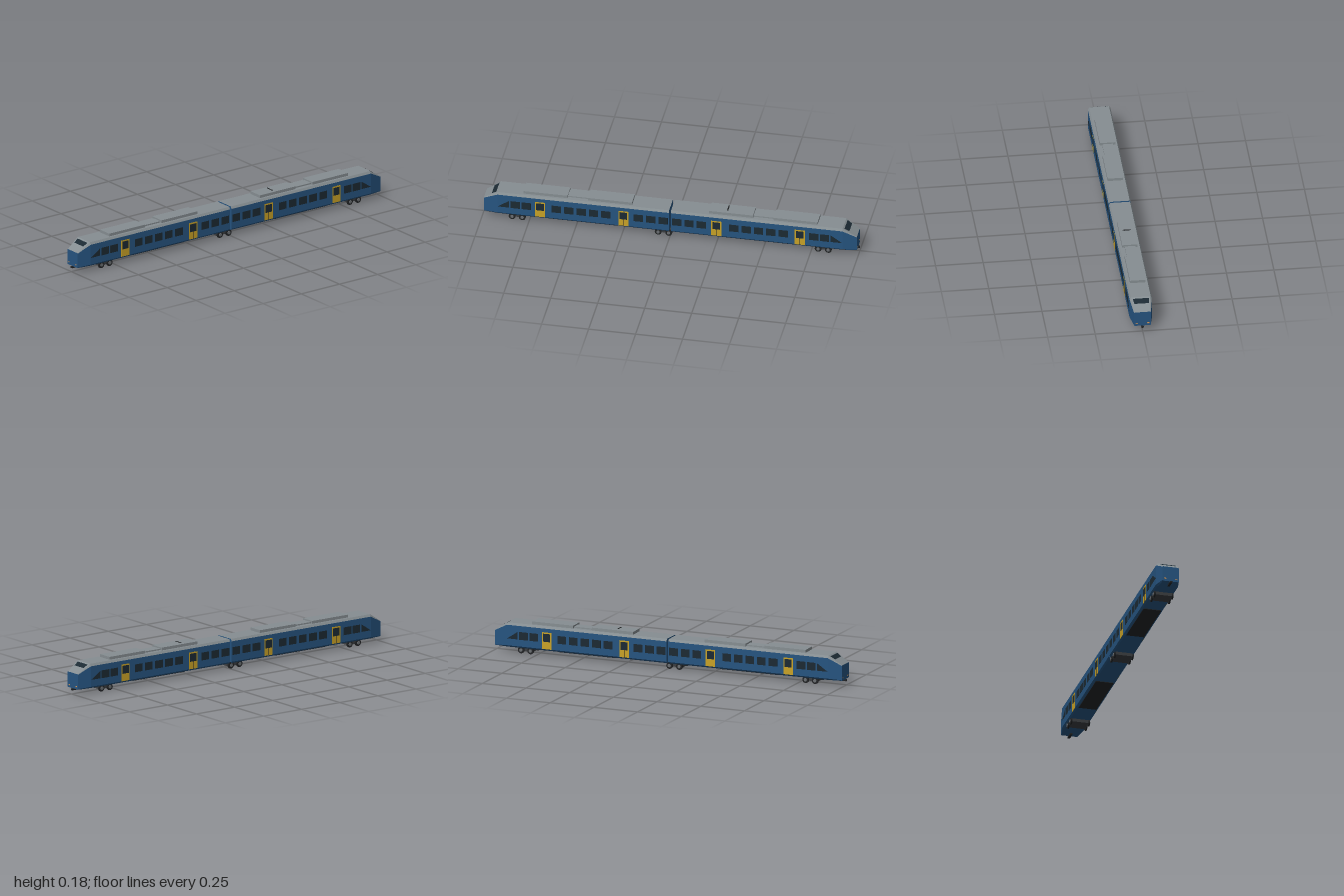
import * as THREE from 'three';

const mat = (color, side = THREE.FrontSide) => {
  const m = new THREE.MeshStandardMaterial({ flatShading: true, side });
  m.color.set(color);
  return m;
};
const blue = mat(0x265480), grey = mat(0x868e92), yellow = mat(0xc9a227);
const glass = mat(0x1c2a33, THREE.DoubleSide), dark = mat(0x222426);
const steel = mat(0x6a6e72), amber = mat(0xe09a50), frameGrey = mat(0x3a3d40);

function add(parent, name, geometry, material, x = 0, y = 0, z = 0) {
  const mesh = new THREE.Mesh(geometry, material);
  mesh.name = name;
  mesh.position.set(x, y, z);
  parent.add(mesh);
  return mesh;
}
const box = (p, name, m, w, h, d, x, y, z) => add(p, name, new THREE.BoxGeometry(w, h, d), m, x, y, z);

// Triangles from a list of quads, each with corners anticlockwise from outside
function quads(list) {
  const g = new THREE.BufferGeometry();
  const pos = list.flatMap(([a, b, c, d]) => [a, b, c, a, c, d].flat());
  g.setAttribute('position', new THREE.Float32BufferAttribute(pos, 3));
  g.computeVertexNormals();
  return g;
}

// Cross-section ring: right half mirrored, running bottom right to bottom left
function ring(z, half) {
  const right = half.map(([x, y]) => [x, y, z]);
  return [...right, ...right.map(([x, y]) => [-x, y, z]).reverse()];
}

const NOSE = { z0: 0.918, y0: 0.16, z1: 0.992, y1: 0.1125 };

function shell(car) {
  const full = [[0.052, 0.0295], [0.0595, 0.038], [0.0595, 0.148], [0.052, 0.16]];
  const tip = [[0.0425, 0.0295], [0.044, 0.033], [0.044, 0.11], [0.041, NOSE.y1]];
  const rings = [ring(0.005, full), ring(NOSE.z0, full), ring(NOSE.z1, tip)];
  const walls = [], roof = [];
  for (let s = 0; s < 2; s++) {
    for (let i = 0; i < 8; i++) {
      const j = (i + 1) % 8, a = rings[s], b = rings[s + 1];
      (i >= 2 && i <= 4 ? roof : walls).push([b[i], a[i], a[j], b[j]]);
    }
  }
  // End caps, as strips between mirrored points
  for (let i = 0; i < 3; i++) {
    const f = rings[2], r = rings[0];
    walls.push([f[7 - i], f[i], f[i + 1], f[6 - i]]);
    walls.push([r[i], r[7 - i], r[6 - i], r[i + 1]]);
  }
  add(car, 'bodyShell', quads(walls), blue);
  add(car, 'roof', quads(roof), grey);
}

function bogie(parent, name, zA, zB, frameLength) {
  const g = new THREE.Group();
  g.name = name;
  parent.add(g);
  box(g, 'bogieFrame', frameGrey, 0.088, 0.017, frameLength, 0, 0.021, (zA + zB) / 2);
  for (const z of [zA, zB]) {
    const axle = add(g, 'axle', new THREE.CylinderGeometry(0.004, 0.004, 0.1, 10), dark, 0, 0.018, z);
    axle.rotation.z = Math.PI / 2;
    for (const s of [-1, 1]) {
      const wheel = add(g, 'wheel', new THREE.CylinderGeometry(0.018, 0.018, 0.008, 20), dark, s * 0.048, 0.018, z);
      wheel.rotation.z = Math.PI / 2;
      const hub = add(g, 'axleBox', new THREE.CylinderGeometry(0.009, 0.009, 0.003, 12), steel, s * 0.0535, 0.018, z);
      hub.rotation.z = Math.PI / 2;
    }
  }
}

function createCar(name) {
  const car = new THREE.Group();
  car.name = name;
  shell(car);

  // Side windows, cab windows and doors
  const windowZ = [0.036, 0.102, 0.168, 0.340, 0.406, 0.472, 0.538, 0.604, 0.765, 0.823];
  const cab = new THREE.Shape([[0.856, 0.075], [0.917, 0.075], [0.856, 0.116]].map((p) => new THREE.Vector2(...p)));
  for (const s of [-1, 1]) {
    for (const z of windowZ) box(car, 'sideWindow', glass, 0.001, 0.042, 0.05, s * 0.0595, 0.095, z);
    const cabWindow = add(car, 'cabSideWindow', new THREE.ShapeGeometry(cab), glass, s * 0.0601);
    cabWindow.rotation.y = -Math.PI / 2;
    for (const z of [0.247, 0.691]) {
      box(car, 'door', yellow, 0.001, 0.09, 0.054, s * 0.0596, 0.083, z);
      box(car, 'doorWindow', glass, 0.001, 0.043, 0.041, s * 0.0599, 0.099, z);
      box(car, 'doorSeam', dark, 0.001, 0.038, 0.0015, s * 0.0599, 0.058, z);
    }
  }

  // Windscreen lying on the sloping nose
  const onSlope = (x, y) => {
    const t = (NOSE.y0 - y) / (NOSE.y0 - NOSE.y1);
    return [x, y + 0.0006, NOSE.z0 + t * (NOSE.z1 - NOSE.z0) + 0.0004];
  };
  add(car, 'windscreen', quads([[onSlope(-0.038, 0.139), onSlope(0.038, 0.139),
    onSlope(0.0435, 0.155), onSlope(-0.0435, 0.155)]]), glass);

  // Nose lights and coupler
  for (const s of [-1, 1]) {
    box(car, 'headlight', amber, 0.012, 0.0035, 0.001, s * 0.03, 0.0455, 0.9922);
    box(car, 'tailLight', steel, 0.011, 0.0025, 0.001, s * 0.03, 0.0415, 0.9922);
  }
  box(car, 'coupler', dark, 0.012, 0.009, 0.05, 0, 0.0245, 0.975);

  // Roof units joined by a low duct
  for (const z of [0.665, 0.322]) box(car, 'roofUnit', grey, 0.081, 0.016, 0.234, 0, 0.167, z);
  box(car, 'roofDuct', grey, 0.056, 0.008, 0.12, 0, 0.163, 0.495);

  // Underfloor equipment and outer bogie
  box(car, 'underfloorEquipment', dark, 0.096, 0.006, 0.34, 0, 0.0295, 0.465);
  bogie(car, 'outerBogie', 0.787, 0.841, 0.078);
  return car;
}

export function createModel() {
  const model = new THREE.Group();
  model.name = 'train';
  model.add(createCar('frontCar'));
  const rear = createCar('rearCar');
  rear.rotation.y = Math.PI;
  model.add(rear);

  // Shared bogie under the joint between the cars
  bogie(model, 'middleBogie', 0.008, 0.064, 0.09);

  // Folded current collector on the rear car
  const collector = new THREE.Group();
  collector.name = 'currentCollector';
  model.add(collector);
  box(collector, 'contactBar', dark, 0.046, 0.0015, 0.006, 0, 0.178, -0.3);
  for (const s of [-1, 1]) box(collector, 'post', dark, 0.002, 0.004, 0.004, s * 0.013, 0.1765, -0.3);
  return model;
}
